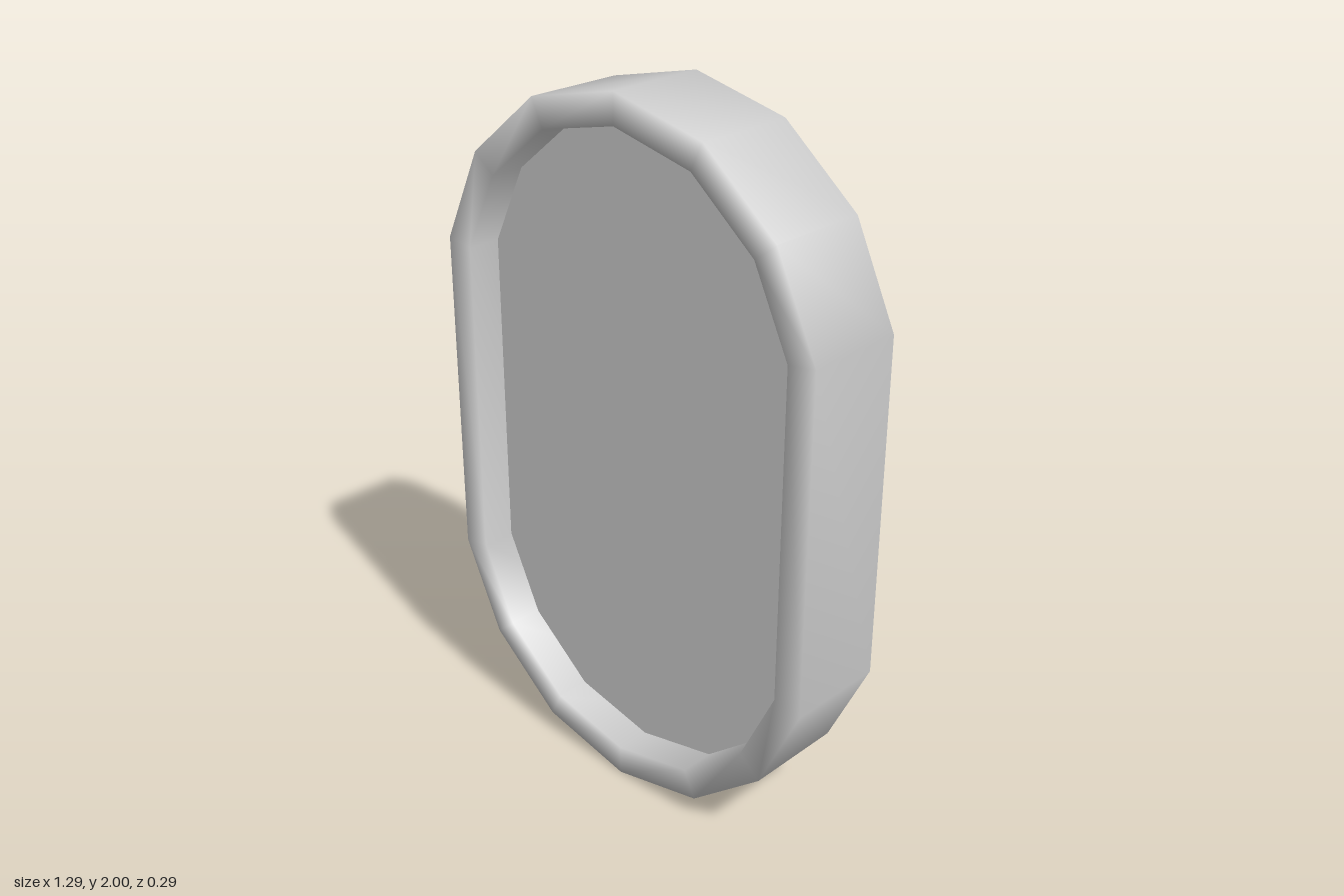
import * as THREE from 'three';

// Mirror a right-hand half outline (bottom to top) into a closed loop, counter-clockwise from the front
function fullOutline(half) {
  const left = half.slice(1, -1).reverse().map(([x, y]) => [-x, y]);
  return [...half, ...left].map(([x, y]) => new THREE.Vector2(x, y));
}

const OUTER = fullOutline([[0, 0], [0.29, 0.065], [0.52, 0.253], [0.647, 0.52],
  [0.647, 1.48], [0.52, 1.747], [0.29, 1.935], [0, 2]]);
const INNER = fullOutline([[0, 0.087], [0.253, 0.143], [0.453, 0.306], [0.563, 0.535],
  [0.563, 1.467], [0.453, 1.695], [0.253, 1.858], [0, 1.915]]);
const HALF_DEPTH = 0.145;
const PANEL_Z = 0.045;

// Sweep a rectangular section around the outline, sharing vertices for soft shading
function frameGeometry() {
  const positions = [];
  const index = [];
  const n = OUTER.length;
  for (let i = 0; i < n; i++) {
    const o = OUTER[i], p = INNER[i];
    positions.push(o.x, o.y, -HALF_DEPTH, o.x, o.y, HALF_DEPTH,
      p.x, p.y, HALF_DEPTH, p.x, p.y, -HALF_DEPTH);
    for (let j = 0; j < 4; j++) {
      const next = ((i + 1) % n) * 4, k = (j + 1) % 4;
      const a = i * 4 + j, b = next + j, c = next + k, d = i * 4 + k;
      index.push(a, b, c, a, c, d);
    }
  }
  const geometry = new THREE.BufferGeometry();
  geometry.setAttribute('position', new THREE.Float32BufferAttribute(positions, 3));
  geometry.setIndex(index);
  geometry.computeVertexNormals();
  return geometry;
}

export function createModel() {
  const group = new THREE.Group();
  group.name = 'ovalFramedPanel';
  const material = new THREE.MeshStandardMaterial({ color: 0xcccccc });

  // Faceted oval rim
  const frame = new THREE.Mesh(frameGeometry(), material);
  frame.name = 'frame';
  group.add(frame);

  // Recessed panels on the front and back
  const panelGeometry = new THREE.ShapeGeometry(new THREE.Shape(INNER));
  for (const side of [1, -1]) {
    const panel = new THREE.Mesh(panelGeometry, material);
    panel.name = side > 0 ? 'frontPanel' : 'backPanel';
    panel.position.z = side * PANEL_Z;
    if (side < 0) panel.rotation.y = Math.PI;
    group.add(panel);
  }
  return group;
}
